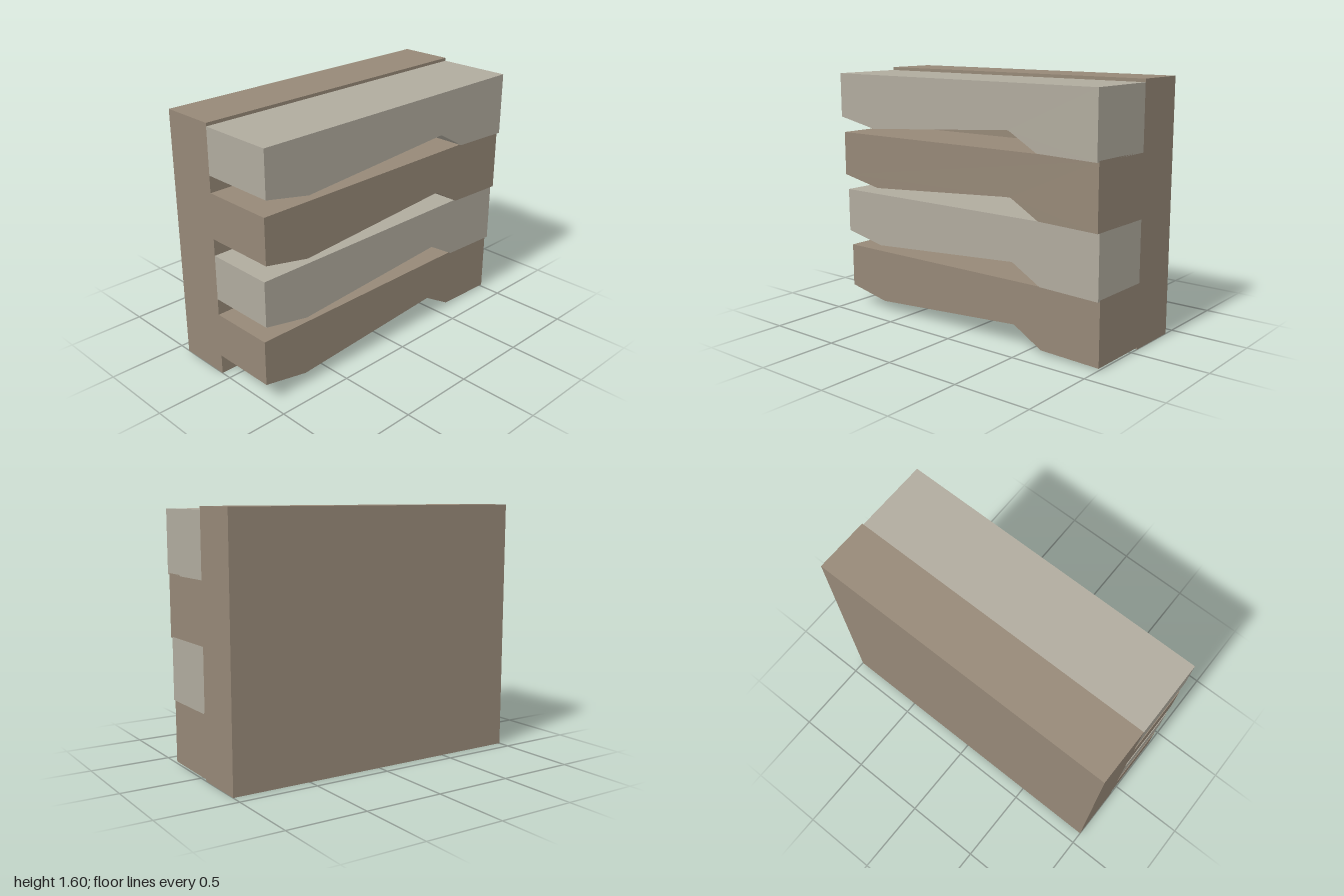
import * as THREE from 'three';

export function createModel() {
  const group = new THREE.Group();
  const brown = new THREE.MeshStandardMaterial({ name: 'brown', color: 0x968877 });
  const paleGrey = new THREE.MeshStandardMaterial({ name: 'paleGrey', color: 0xb0ab9e });

  // Upright backing slab
  const slab = new THREE.Mesh(new THREE.BoxGeometry(0.35, 1.6, 2), brown);
  slab.name = 'backingSlab';
  slab.position.set(-0.245, 0.8, 0);
  group.add(slab);

  // Side profile of a plank as [z, depth below its top]
  const profile = [
    [1, 0], [1, -0.285], [0.7, -0.345], [-0.4, -0.27], [-0.6, -0.385], [-1, -0.398], [-1, 0],
  ];
  const shape = new THREE.Shape(profile.map(([z, y]) => new THREE.Vector2(-z, y)));

  // Four stacked planks, each a little wider than the one below
  const inner = -0.07;
  for (let i = 0; i < 4; i++) {
    const width = 0.355 + 0.02 * i - inner;
    const geometry = new THREE.ExtrudeGeometry(shape, { depth: width, bevelEnabled: false });
    geometry.rotateY(Math.PI / 2);
    const plank = new THREE.Mesh(geometry, i % 2 ? paleGrey : brown);
    plank.name = `plank${i + 1}`;
    plank.position.set(inner, 0.41 + 0.39 * i, 0);
    group.add(plank);
  }
  return group;
}
